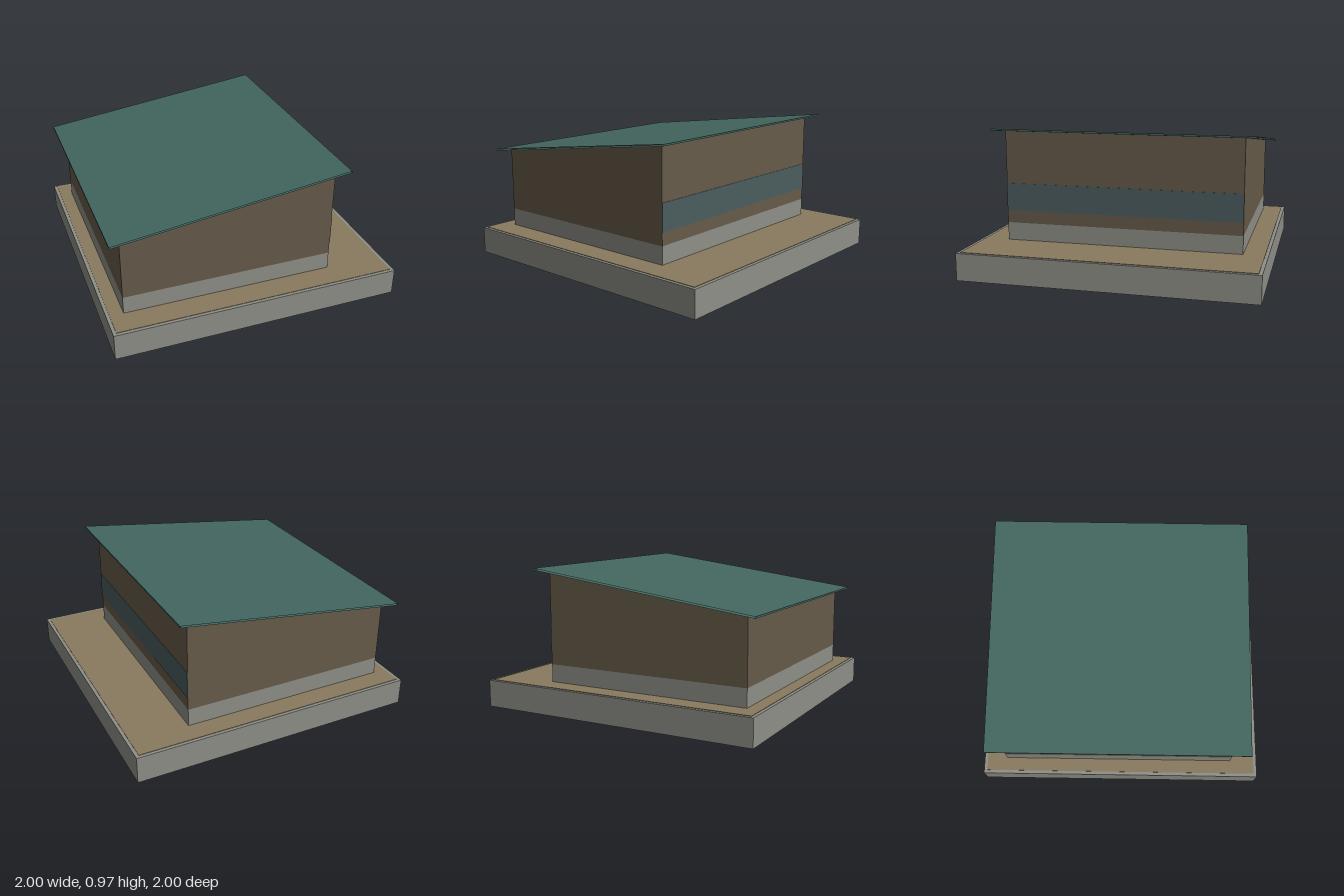
import * as THREE from 'three';

const mat = (name, color, extra = {}) => {
  const m = new THREE.MeshStandardMaterial({ color, ...extra });
  m.name = name;
  return m;
};

export function createModel() {
  const concrete = mat('concrete', 0x8e8f87);
  const earth = mat('earth', 0x897a5e);
  const timber = mat('timber', 0x665b4a);
  const glass = mat('glass', 0x4b5c5d);
  const roofing = mat('roofing', 0x42665f, { side: THREE.DoubleSide });

  const group = new THREE.Group();
  const add = (name, geometry, material, x = 0, y = 0, z = 0) => {
    const mesh = new THREE.Mesh(geometry, material);
    mesh.name = name;
    mesh.position.set(x, y, z);
    group.add(mesh);
    return mesh;
  };

  // Building footprint and the sloping roof plane
  const x0 = -0.885, x1 = 0.578, z0 = -0.835, z1 = 0.805;
  const w = x1 - x0, d = z1 - z0, cx = (x0 + x1) / 2, cz = (z0 + z1) / 2;
  const roofY = x => 0.887 + 0.132 * x;

  // Ground slab with an inset earth surface
  add('slab', new THREE.BoxGeometry(2, 0.186, 2), concrete, 0, 0.093, 0);
  add('yard', new THREE.BoxGeometry(1.955, 0.004, 1.955), earth, 0, 0.187, 0);

  // Plinth
  add('plinth', new THREE.BoxGeometry(w, 0.126, d), concrete, cx, 0.249, cz);

  // Walls with sloping tops
  const profile = new THREE.Shape([
    new THREE.Vector2(x0, 0.312), new THREE.Vector2(x1, 0.312),
    new THREE.Vector2(x1, roofY(x1) - 0.001), new THREE.Vector2(x0, roofY(x0) - 0.001),
  ]);
  add('walls', new THREE.ExtrudeGeometry(profile, { depth: d, bevelEnabled: false }), timber, 0, 0, z0);

  // Window band along the tall side
  add('windowBand', new THREE.BoxGeometry(0.004, 0.19, d), glass, x1 + 0.001, 0.495, cz);

  // Thin roof sheet, folded round its high and low edges and open at the gable ends
  const r0 = -0.963, r1 = 0.655, rz0 = -0.912, rz1 = 0.88, t = 0.012;
  const section = [
    [r0, roofY(r0)], [r1, roofY(r1)], [r1, roofY(r1) - t], [r0, roofY(r0) - t],
  ];
  const points = [];
  section.forEach(([ax, ay], i) => {
    const [bx, by] = section[(i + 1) % section.length];
    points.push(ax, ay, rz0, ax, ay, rz1, bx, by, rz1);
    points.push(ax, ay, rz0, bx, by, rz1, bx, by, rz0);
  });
  const roof = new THREE.BufferGeometry();
  roof.setAttribute('position', new THREE.Float32BufferAttribute(points, 3));
  roof.computeVertexNormals();
  add('roof', roof, roofing);

  return group;
}
